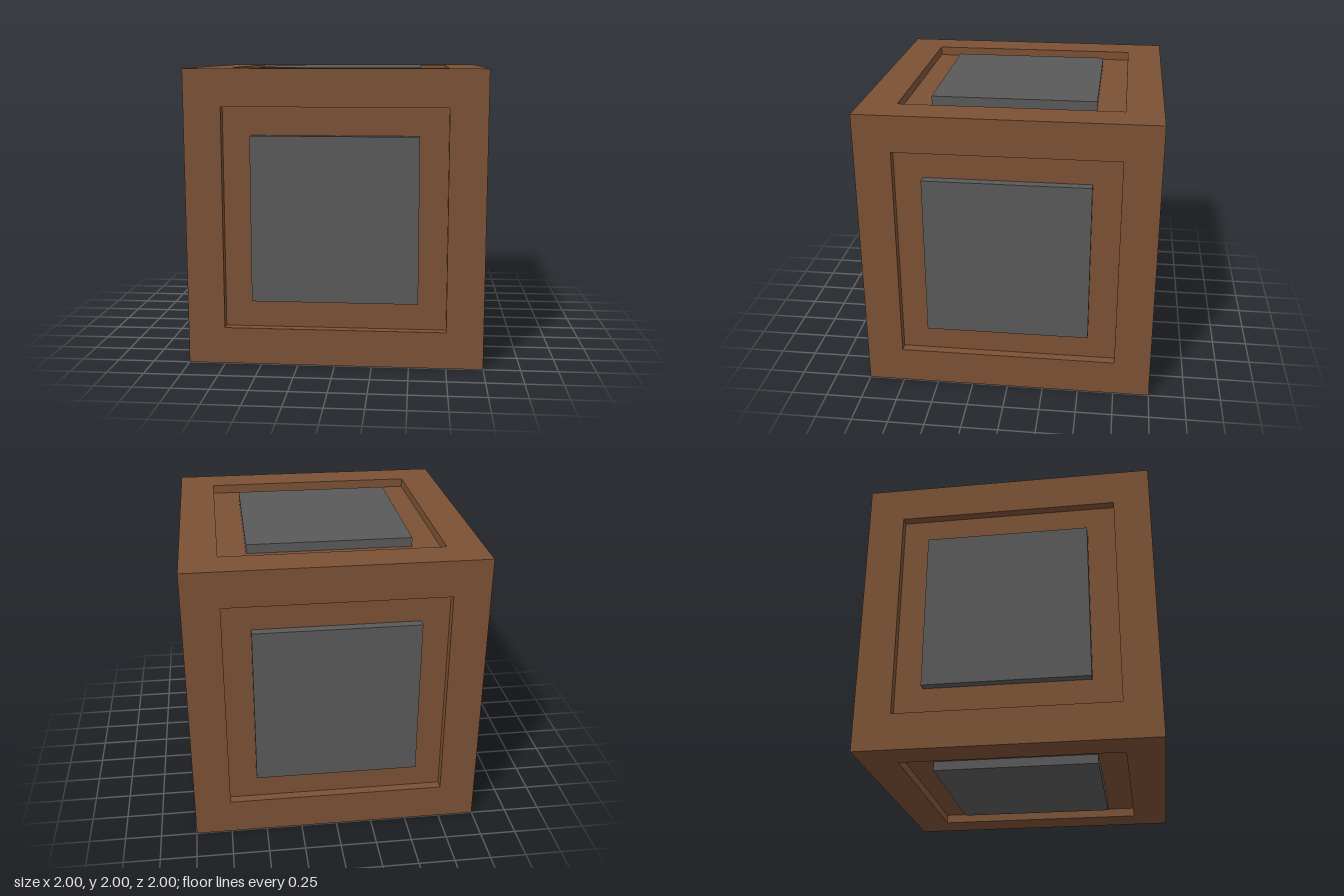
import * as THREE from 'three';

const HALF = 1;        // half the cube
const OPENING = 0.75;  // half the recess opening
const PLATE = 0.56;    // half the raised plate
const DEPTH = 0.0625;  // recess depth

// Square frame whose outer edge is mitred at 45 degrees so six of them close into a cube
function mitredFrame() {
  const square = (path, s) => path.moveTo(-s, -s).lineTo(s, -s).lineTo(s, s).lineTo(-s, s).closePath();
  const shape = square(new THREE.Shape(), HALF);
  shape.holes.push(square(new THREE.Path(), OPENING));
  const geometry = new THREE.ExtrudeGeometry(shape, { depth: DEPTH, bevelEnabled: false });
  const p = geometry.attributes.position;
  for (let i = 0; i < p.count; i++) {
    if (p.getZ(i) > DEPTH / 2) continue;
    for (const axis of [0, 1]) {
      const v = p.getComponent(i, axis);
      if (Math.abs(v) > 0.9) p.setComponent(i, axis, Math.sign(v) * (HALF - DEPTH));
    }
  }
  geometry.computeVertexNormals();
  return geometry;
}

export function createModel() {
  const wood = new THREE.MeshStandardMaterial({ color: 0x7b5135 });
  wood.name = 'brownWood';
  const metal = new THREE.MeshStandardMaterial({ color: 0x595959 });
  metal.name = 'greyMetal';

  const model = new THREE.Group();
  model.name = 'crate';

  // Core, which forms the floor of every recess
  const inner = 2 * (HALF - DEPTH);
  const core = new THREE.Mesh(new THREE.BoxGeometry(inner, inner, inner), wood);
  core.name = 'core';
  core.position.y = HALF;
  model.add(core);

  const frameGeometry = mitredFrame();
  const plateGeometry = new THREE.BoxGeometry(2 * PLATE, 2 * PLATE, DEPTH);

  // One framed recess with a flush plate on each of the six sides
  const q = Math.PI / 2;
  const sides = {
    front: [0, 0], left: [0, q], back: [0, 2 * q], right: [0, -q], top: [-q, 0], bottom: [q, 0],
  };
  for (const [name, [rx, ry]] of Object.entries(sides)) {
    const side = new THREE.Group();
    side.name = `${name}Side`;
    side.position.y = HALF;
    side.rotation.set(rx, ry, 0);

    const frame = new THREE.Mesh(frameGeometry, wood);
    frame.name = `${name}Frame`;
    frame.position.z = HALF - DEPTH;

    const plate = new THREE.Mesh(plateGeometry, metal);
    plate.name = `${name}Plate`;
    plate.position.z = HALF - DEPTH / 2;

    side.add(frame, plate);
    model.add(side);
  }
  return model;
}
